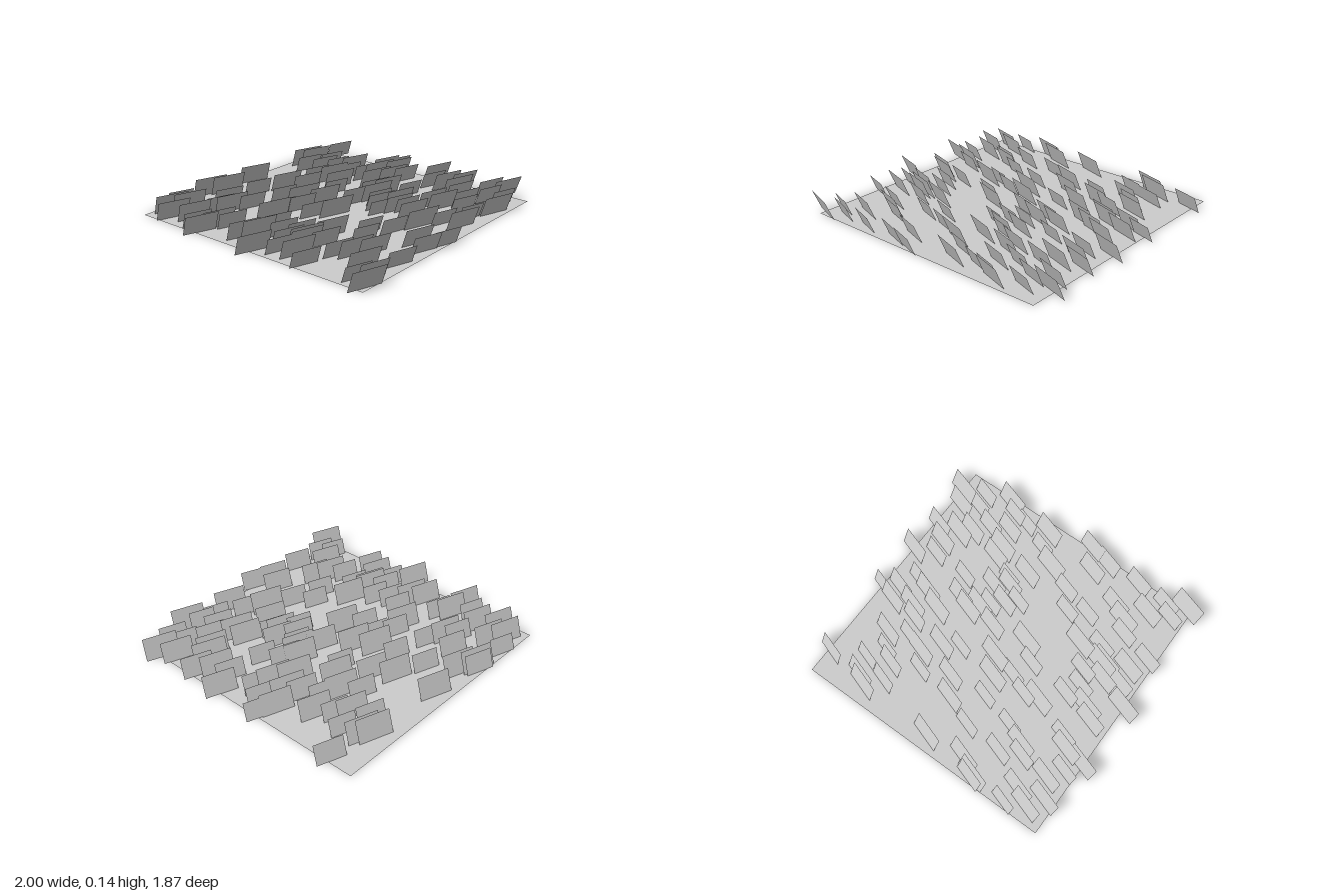
import * as THREE from 'three';

// Blade positions: one row per 0.02 step in z, listing x in hundredths.
const FIRST_Z = -0.88, STEP_Z = 0.02;
const ROWS = [
  [-62, -36], [-37], [], [-75, 2], [-26, 56], [], [-65, 61], [87], [-82], [47],
  [], [], [65, -41], [-15], [-75], [50, -55], [], [5], [-50, 58], [32, -82],
  [], [-37], [], [65, 13], [39, -88, -13], [-75], [51], [], [-69], [],
  [31], [-9], [-32, 57], [-42, 20, 77], [], [63, 88, -19], [], [-77, -2], [78], [49],
  [-70, -54], [], [-24, 61], [], [71], [12, 32, -59], [], [41, -89, -13], [27], [],
  [-54], [-68, 22], [88], [-79], [48, 15], [74, -61], [-63], [-42, 8, 28], [], [-77],
  [-55, 19, 76], [], [23], [], [85, -22], [-84], [40, 71], [-34, 15], [-62], [64],
  [40, -13], [], [-56], [], [5, 56], [-46, 83], [], [44], [18, 72], [-66],
  [88], [-19], [-80, 37], [48, 73], [21], [-73], [-50, -25, 55], [], [-10, -86],
];

// Small seeded generator for the size variation
function seeded(seed) {
  return () => (seed = (seed * 16807) % 2147483647) / 2147483647;
}

export function createModel() {
  const model = new THREE.Group();
  const material = new THREE.MeshStandardMaterial({ color: 0xcccccc, side: THREE.DoubleSide });

  // Flat square ground sheet
  const ground = new THREE.Mesh(new THREE.PlaneGeometry(1.8, 1.8).rotateX(-Math.PI / 2), material);
  ground.name = 'ground';
  ground.position.z = -0.02;
  model.add(ground);

  // One flat card, leaning forward and turned, all sharing the same direction
  const lean = THREE.MathUtils.degToRad(22), turn = THREE.MathUtils.degToRad(-18);
  const height = 0.6;
  const card = new THREE.PlaneGeometry(1, height / Math.cos(lean))
    .rotateX(lean).rotateY(turn).translate(0, height / 2, 0);

  // Scattered cards standing on the ground
  const blades = new THREE.Group();
  blades.name = 'blades';
  const random = seeded(41);
  ROWS.forEach((row, i) => row.forEach((x) => {
    const blade = new THREE.Mesh(card, material);
    blade.name = 'blade';
    blade.position.set(x / 100, 0, FIRST_Z + i * STEP_Z);
    blade.scale.setScalar(0.175 + 0.058 * random());
    blades.add(blade);
  }));
  model.add(blades);

  return model;
}
